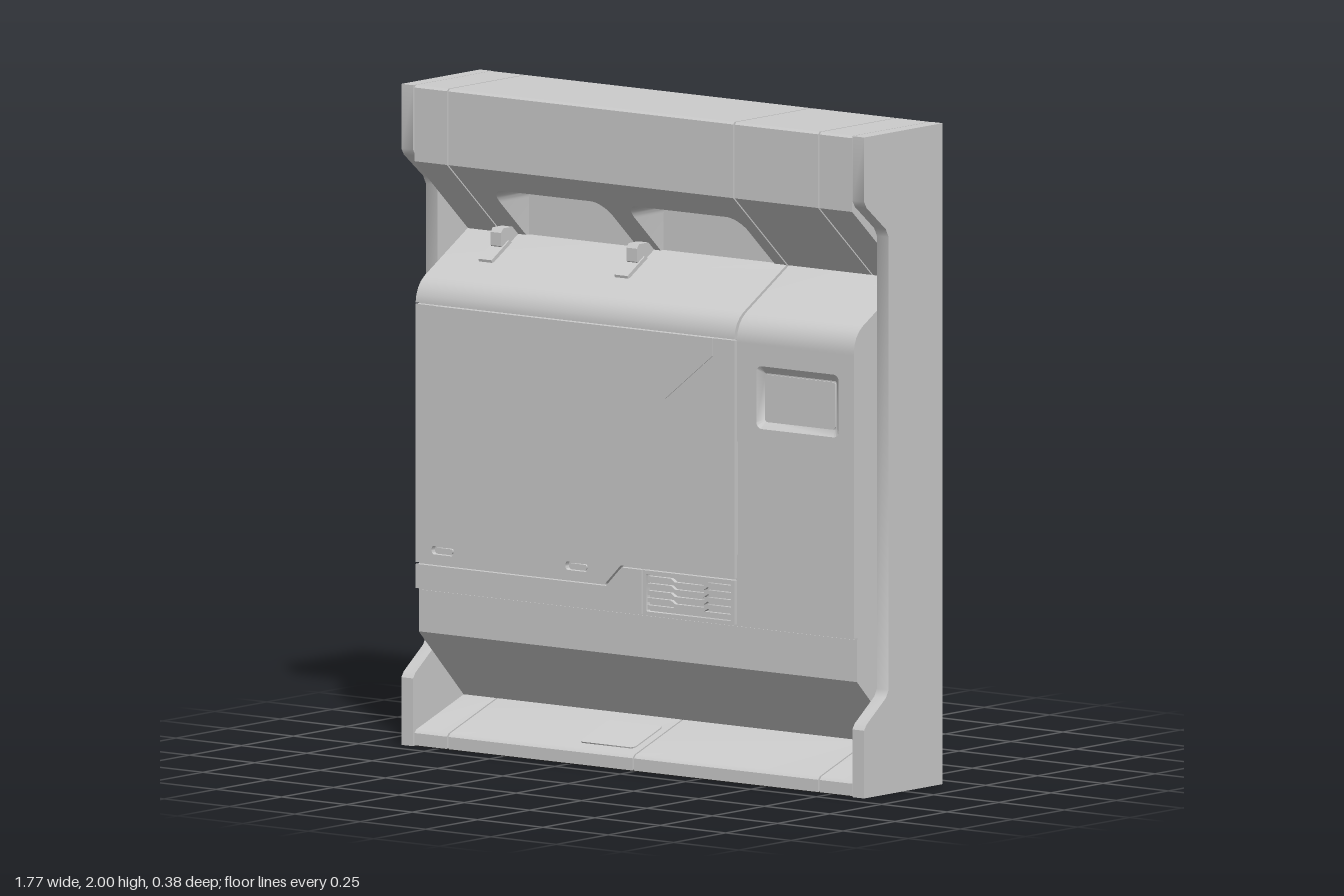
import * as THREE from 'three';
import { toCreasedNormals } from 'three/addons/utils/BufferGeometryUtils.js';

const grey = new THREE.MeshStandardMaterial({ color: 0xcccccc });
const dark = new THREE.MeshStandardMaterial({ color: 0x222222 });
const GAP = 0.003; // half a panel seam
const IN = 0.838; // half width between the side frames
const FACE = 0.18; // front of the doors

const toShape = (pts) => new THREE.Shape(pts.map(([a, b]) => new THREE.Vector2(a, b)));

export function createModel() {
  const group = new THREE.Group();

  const add = (name, geometry, material = grey) => {
    const mesh = new THREE.Mesh(geometry, material);
    mesh.name = name;
    group.add(mesh);
    return mesh;
  };

  // box given by its limits
  const box = (name, x0, x1, y0, y1, z0, z1, material) =>
    add(name, new THREE.BoxGeometry(x1 - x0, y1 - y0, z1 - z0), material)
      .position.set((x0 + x1) / 2, (y0 + y1) / 2, (z0 + z1) / 2);

  // side profile of [z, y] points swept along x
  const sweep = (name, pts, x0, x1) => {
    const g = new THREE.ExtrudeGeometry(toShape(pts), { depth: x1 - x0, bevelEnabled: false });
    g.rotateY(-Math.PI / 2);
    g.translate(x1, 0, 0);
    return add(name, toCreasedNormals(g, 0.6));
  };

  // front outline in x, y given thickness from z0 to z1
  const plate = (name, shape, z0, z1) => {
    const g = new THREE.ExtrudeGeometry(shape, { depth: z1 - z0, bevelEnabled: false, curveSegments: 6 });
    g.translate(0, 0, z0);
    return add(name, toCreasedNormals(g, 0.6));
  };

  // rounded rectangle, as a shape or as a hole
  const rounded = (x0, x1, y0, y1, r, Kind = THREE.Shape) => {
    const s = new Kind();
    s.absarc(x1 - r, y1 - r, r, 0, Math.PI / 2);
    s.absarc(x0 + r, y1 - r, r, Math.PI / 2, Math.PI);
    s.absarc(x0 + r, y0 + r, r, Math.PI, Math.PI * 1.5);
    s.absarc(x1 - r, y0 + r, r, Math.PI * 1.5, Math.PI * 2);
    s.closePath();
    return s;
  };

  // dark backing and underside
  box('backPanel', -0.84, 0.84, 0, 1.994, -0.19, -0.1, dark);
  box('underside', -0.84, 0.84, 0, 0.006, -0.1, 0.183, dark);

  // C-shaped side frames
  const frame = [[-0.188, 0], [0.19, 0], [0.19, 0.205], [0.178, 0.222], [0.085, 0.292], [0.072, 0.315],
    [0.072, 1.685], [0.085, 1.71], [0.178, 1.785], [0.19, 1.805], [0.19, 2], [-0.188, 2]];
  sweep('rightFrame', frame, -0.885, -0.84);
  sweep('leftFrame', frame, 0.84, 0.885);

  // header segments
  const headerCuts = [-0.84, -0.71, 0.385, 0.71, 0.84];
  for (let i = 0; i < 4; i++) {
    const x0 = headerCuts[i] + GAP, x1 = headerCuts[i + 1] - GAP;
    sweep('header', [[-0.184, 1.77], [0.187, 1.77], [0.187, 1.993], [0.18, 2], [-0.184, 2]], x0, x1);
    // sloping underside, notched by two rounded niches in the wide segment
    const lip = new THREE.Shape();
    lip.moveTo(x0, 1.77);
    lip.lineTo(x0, 1.53);
    if (i === 1) {
      for (const [a, b] of [[-0.615, -0.185], [-0.1, 0.335]]) {
        const r = 0.045, top = 1.695;
        lip.lineTo(a, 1.53);
        lip.lineTo(a, top - r);
        lip.absarc(a + r, top - r, r, Math.PI, Math.PI / 2, true);
        lip.lineTo(b - r, top);
        lip.absarc(b - r, top - r, r, Math.PI / 2, 0, true);
        lip.lineTo(b, 1.53);
      }
    }
    lip.lineTo(x1, 1.53);
    lip.lineTo(x1, 1.77);
    const g = new THREE.ExtrudeGeometry(lip, { depth: 1, bevelEnabled: false, curveSegments: 6 });
    const p = g.attributes.position;
    for (let k = 0; k < p.count; k++) {
      const front = 0.187 - (1.77 - p.getY(k)) * 1.11;
      p.setZ(k, p.getZ(k) > 0.5 ? front : -0.1);
    }
    g.computeVertexNormals();
    add('headerUnderside', toCreasedNormals(g, 0.6));
  }
  box('nicheBack', -0.7, 0.38, 1.5, 1.76, -0.11, -0.085);

  // sill segments with a small plate lying on the slope
  const sillCuts = [-0.84, -0.71, 0, 0.71, 0.84];
  for (let i = 0; i < 4; i++) {
    sweep('sill', [[-0.1, 0.003], [0.187, 0.003], [0.187, 0.04], [0.178, 0.05], [-0.05, 0.13], [-0.1, 0.13]],
      sillCuts[i] + GAP, sillCuts[i + 1] - GAP);
  }
  const tag = plate('sillPlate', rounded(-0.105, 0.105, -0.075, 0.075, 0.015), -0.004, 0.004);
  tag.rotation.x = -Math.PI / 2 + Math.atan2(0.08, 0.228);
  tag.position.set(-0.135, 0.086, 0.075);

  // skirt under the doors and the body behind them
  sweep('skirt', [[-0.1, 0.12], [-0.06, 0.12], [0.165, 0.345], [0.165, 0.472], [-0.1, 0.472]], -IN, IN);
  box('body', -IN, IN, 0.47, 1.345, -0.1, 0.163);

  // rounded shoulders leaning back to the header
  const shoulder = (y) => [[-0.1, y], [FACE, y], [FACE, 1.345], [0.177, 1.365], [0.168, 1.387], [0.155, 1.404],
    [0.138, 1.418], [-0.07, 1.538], [-0.1, 1.538]];
  sweep('doorShoulder', shoulder(1.342), -IN, 0.381);
  sweep('columnShoulder', shoulder(1.335), 0.391, IN);
  box('seamBack', 0.375, 0.395, 1.3, 1.42, -0.1, 0.1);

  // main door with two finger slots
  const door = toShape([[-IN, 0.557], [-0.114, 0.557], [-0.054, 0.618], [0.381, 0.618], [0.381, 1.338], [-IN, 1.338]]);
  for (const x of [-0.735, -0.223]) door.holes.push(rounded(x - 0.042, x + 0.042, 0.586, 0.612, 0.01, THREE.Path));
  plate('mainDoor', door, 0.15, FACE);
  for (const x of [-0.735, -0.223]) plate('slotInsert', rounded(x - 0.034, x + 0.034, 0.592, 0.606, 0.006), 0.15, 0.174);
  plate('doorOverlay', toShape([[-0.765, 1.338], [-0.765, 1.16], [-0.742, 1.14], [0.12, 1.14], [0.3, 1.285], [0.3, 1.338]]),
    FACE - 0.002, FACE + 0.003);

  // strip below the door
  plate('lowerStrip', toShape([[-IN, 0.478], [0.026, 0.478], [0.026, 0.612], [-0.051, 0.612], [-0.111, 0.551], [-IN, 0.551]]),
    0.15, FACE);

  // vent with jogged slats
  const ventFrame = toShape([[0.031, 0.478], [0.381, 0.478], [0.381, 0.612], [0.031, 0.612]]);
  ventFrame.holes.push(rounded(0.044, 0.368, 0.488, 0.602, 0.004, THREE.Path));
  plate('ventFrame', ventFrame, 0.15, FACE);
  for (let i = 0; i < 5; i++) {
    const y = 0.494 + i * 0.022, h = 0.013, d = i > 0 ? -0.01 : 0;
    const line = [[0.046, 0], [0.135, 0], [0.15, d], [0.26, d], [0.275, 0], [0.366, 0]];
    plate('ventSlat', toShape([...line.map(([x, o]) => [x, y + o]),
      ...line.reverse().map(([x, o]) => [x, y + o + h])]), 0.15, 0.176);
  }

  // side column with a screen opening and a grip notch
  const column = toShape([[0.391, 0.478], [IN, 0.478], [IN, 1.338], [0.391, 1.338], [0.391, 1.035],
    [0.4, 1.03], [0.46, 0.985], [0.472, 0.965], [0.472, 0.765], [0.46, 0.745], [0.4, 0.695], [0.391, 0.69]]);
  column.holes.push(rounded(0.465, 0.78, 1.08, 1.27, 0.02, THREE.Path));
  plate('sideColumn', column, 0.15, FACE);

  // sloping rim of the screen opening
  const outer = rounded(0.465, 0.78, 1.08, 1.27, 0.02).getPoints(5);
  const inner = rounded(0.486, 0.76, 1.1, 1.248, 0.008).getPoints(5);
  const pos = [], idx = [];
  outer.forEach((o, i) => {
    pos.push(o.x, o.y, FACE, inner[i].x, inner[i].y, 0.164);
    if (i) idx.push(2 * i - 2, 2 * i - 1, 2 * i, 2 * i - 1, 2 * i + 1, 2 * i);
  });
  const rim = new THREE.BufferGeometry();
  rim.setAttribute('position', new THREE.Float32BufferAttribute(pos, 3));
  rim.setIndex(idx);
  rim.computeVertexNormals();
  const rimMaterial = grey.clone();
  rimMaterial.side = THREE.DoubleSide;
  add('screenRim', toCreasedNormals(rim, 0.6), rimMaterial);
  plate('screen', rounded(0.49, 0.756, 1.104, 1.244, 0.006), 0.16, 0.167);

  // latches hooked over the top of the door
  for (const x of [-0.665, -0.145]) {
    sweep('latchTongue', [[0.035, 1.47], [0.062, 1.466], [0.064, 1.474], [-0.02, 1.524], [-0.04, 1.515]], x - 0.025, x + 0.025);
    sweep('latchHook', [[-0.07, 1.525], [-0.005, 1.495], [0.012, 1.51], [0.012, 1.55], [0.002, 1.563], [-0.07, 1.563]],
      x - 0.02, x + 0.02);
  }

  return group;
}
